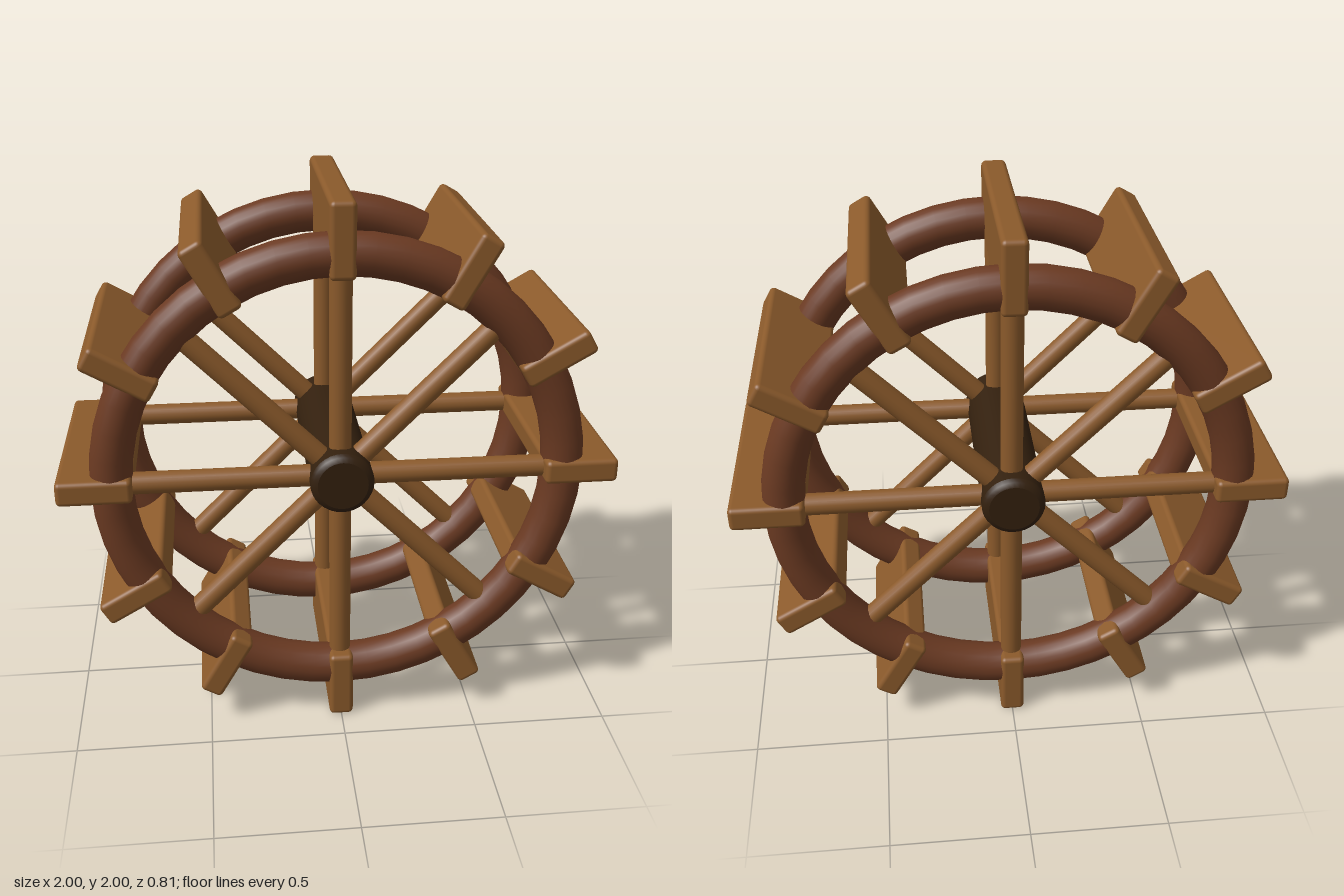
import * as THREE from 'three';
import { RoundedBoxGeometry } from 'three/addons/geometries/RoundedBoxGeometry.js';

const RIM_RADIUS = 0.81;
const RIM_Z = 0.305;

export function createModel() {
  const paddleWood = new THREE.MeshStandardMaterial({ color: 0x8b5a2b });
  paddleWood.name = 'lightWood';
  const rimWood = new THREE.MeshStandardMaterial({ color: 0x6b3a22 });
  rimWood.name = 'redWood';
  const hubWood = new THREE.MeshStandardMaterial({ color: 0x33200e });
  hubWood.name = 'darkWood';

  const model = new THREE.Group();
  model.name = 'waterWheel';
  const wheel = new THREE.Group();
  wheel.name = 'wheel';
  wheel.position.y = 1;
  model.add(wheel);

  const add = (name, geometry, material, parent = wheel) => {
    const mesh = new THREE.Mesh(geometry, material);
    mesh.name = name;
    parent.add(mesh);
    return mesh;
  };

  // Axle hub: a cylinder with chamfered ends, flat caps kept sharp
  const hubProfile = [
    [0, -0.405], [0.09, -0.405], [0.09, -0.405], [0.107, -0.397], [0.114, -0.38], [0.114, -0.38],
    [0.114, 0.38], [0.114, 0.38], [0.107, 0.397], [0.09, 0.405], [0.09, 0.405], [0, 0.405],
  ].map(([r, y]) => new THREE.Vector2(r, y));
  add('hub', new THREE.LatheGeometry(hubProfile, 32).rotateX(Math.PI / 2), hubWood);

  // Two rims, each with eight round spokes
  const rimGeometry = new THREE.TorusGeometry(RIM_RADIUS, 0.076, 20, 48);
  const spokeGeometry = new THREE.CylinderGeometry(0.04, 0.04, 0.74, 16).translate(0, 0.42, 0);
  for (const [side, z] of [['front', RIM_Z], ['back', -RIM_Z]]) {
    const frame = new THREE.Group();
    frame.name = side + 'Frame';
    frame.position.z = z;
    wheel.add(frame);
    add(side + 'Rim', rimGeometry, rimWood, frame);
    for (let i = 0; i < 8; i++) {
      add(side + 'Spoke', spokeGeometry, paddleWood, frame).rotation.z = (i * Math.PI) / 4;
    }
  }

  // Twelve paddle boards across both rims
  const paddleGeometry = new RoundedBoxGeometry(0.09, 0.265, 0.772, 3, 0.018).translate(0, 0.8675, 0);
  for (let i = 0; i < 12; i++) {
    add('paddle', paddleGeometry, paddleWood).rotation.z = (i * Math.PI) / 6;
  }

  return model;
}
